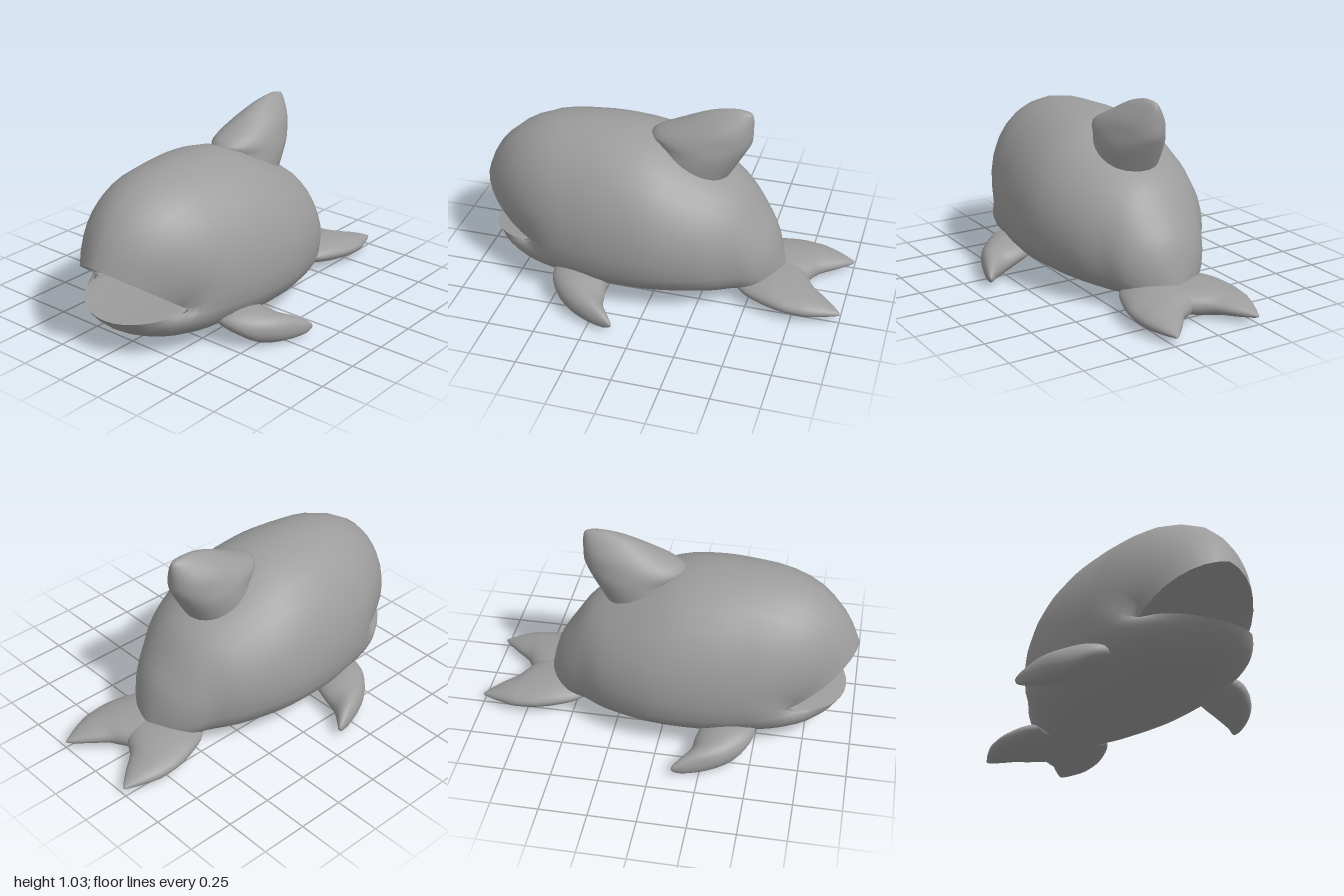
import * as THREE from 'three';

const SEG = 32;
const V = (x, y, z) => new THREE.Vector3(x, y, z);
const material = new THREE.MeshStandardMaterial({ color: 0x9c9c9c, side: THREE.DoubleSide });

// Catmull-Rom smoothing of rows of section numbers
function smooth(rows, steps = 3) {
  const out = [];
  const last = rows.length - 1;
  for (let i = 0; i < last; i++) {
    const p = [rows[Math.max(i - 1, 0)], rows[i], rows[i + 1], rows[Math.min(i + 2, last)]];
    for (let s = 0; s < steps; s++) {
      const t = s / steps;
      out.push(rows[0].map((_, k) => {
        const [a, b, c, d] = p.map(r => r[k]);
        return 0.5 * (2 * b + (c - a) * t + (2 * a - 5 * b + 4 * c - d) * t * t
          + (3 * b - a - 3 * c + d) * t * t * t);
      }));
    }
  }
  out.push(rows[last]);
  return out;
}

// One closed ring from a function of the angle
function ring(fn) {
  return Array.from({ length: SEG }, (_, j) => fn((j / SEG) * Math.PI * 2));
}

// Oval ring in the plane of u and v
function oval(center, u, v) {
  return ring(a => center.clone().addScaledVector(u, Math.sin(a)).addScaledVector(v, Math.cos(a)));
}

// Smooth skin over rings; ends close to a point on request
function loft(name, rings, capStart = true, capEnd = true) {
  const point = r => {
    const c = r.reduce((sum, p) => sum.add(p), V(0, 0, 0)).divideScalar(SEG);
    return r.map(() => c);
  };
  const all = [...rings];
  if (capStart) all.unshift(point(rings[0]));
  if (capEnd) all.push(point(rings[rings.length - 1]));
  const index = [];
  for (let i = 0; i < all.length - 1; i++) {
    for (let j = 0; j < SEG; j++) {
      const k = (j + 1) % SEG;
      const a = i * SEG + j, b = i * SEG + k, c = a + SEG, d = b + SEG;
      index.push(a, c, b, b, c, d);
    }
  }
  const geometry = new THREE.BufferGeometry().setFromPoints(all.flat());
  geometry.setIndex(index);
  geometry.computeVertexNormals();
  const mesh = new THREE.Mesh(geometry, material);
  mesh.name = name;
  return mesh;
}

// Body section: rounded above the widest height, flatter below
function bodyRing([z, w, top, bottom, mid]) {
  return ring(a => {
    const c = Math.cos(a);
    const y = c > 0 ? mid + (top - mid) * c : mid - (mid - bottom) * Math.pow(-c, 0.75);
    return V(w * Math.sin(a), y, z);
  });
}

// Edge of the open mouth: peaked upper lip, shorter flat lower jaw
const lips = ring(a => {
  const c = Math.cos(a);
  const x = 0.31 * Math.sin(a);
  const peak = 1 - Math.abs(Math.sin(a));
  return c > 0
    ? V(x, 0.245 + 0.215 * c + 0.035 * peak, 0.66 + 0.3 * c + 0.04 * peak)
    : V(x, 0.245 - 0.043 * c * c, 0.66 - 0.29 * c);
});

function makeBody() {
  // z, half width, top, bottom, height of widest point
  const rings = smooth([
    [-0.66, 0.03, 0.14, 0.06, 0.1],
    [-0.61, 0.14, 0.33, 0.04, 0.16],
    [-0.53, 0.235, 0.46, 0.03, 0.22],
    [-0.43, 0.3, 0.6, 0.027, 0.28],
    [-0.3, 0.39, 0.69, 0.02, 0.31],
    [-0.1, 0.462, 0.795, 0.015, 0.33],
    [0.07, 0.483, 0.862, 0.012, 0.33],
    [0.27, 0.475, 0.885, 0.01, 0.33],
    [0.45, 0.445, 0.88, 0.02, 0.33],
  ]).map(bodyRing);
  // Head: each line of the body bends in towards the lips
  const neck = rings[rings.length - 1];
  const steps = 8;
  for (let s = 1; s <= steps; s++) {
    const t = s / steps;
    rings.push(neck.map((b, j) => {
      const r = lips[j];
      const bend = V(b.x + (r.x - b.x) * 0.3, b.y + (r.y - b.y) * 0.04, b.z + (r.z - b.z) * 0.78);
      return new THREE.QuadraticBezierCurve3(b, bend, r).getPoint(t);
    }));
  }
  return loft('body', rings, true, false);
}

function makeMouth() {
  const back = ring(a => V(0.27 * Math.sin(a), 0.285 + 0.015 * Math.cos(a), 0.55));
  const rings = [0, 0.25, 0.5, 0.75, 1].map(t => lips.map((p, j) => p.clone().lerp(back[j], t)));
  return loft('mouth', rings, false, true);
}

function makeDorsalFin() {
  // y, centre z, half length, half width
  const rows = smooth([
    [0.62, -0.14, 0.18, 0.16],
    [0.72, -0.16, 0.22, 0.165],
    [0.8, -0.19, 0.235, 0.16],
    [0.86, -0.19, 0.265, 0.145],
    [0.93, -0.26, 0.2, 0.113],
    [1.0, -0.33, 0.128, 0.055],
    [1.03, -0.37, 0.07, 0.022],
    [1.038, -0.36, 0.02, 0.008],
  ]);
  return loft('dorsalFin', rows.map(([y, z, l, w]) => oval(V(0, y, z), V(0, 0, l), V(w, 0, 0))));
}

function makeFlipper(side) {
  // x, y, z, half length, half height
  const rows = smooth([
    [0.26, 0.15, 0.38, 0.1, 0.03],
    [0.36, 0.13, 0.37, 0.14, 0.058],
    [0.45, 0.112, 0.35, 0.145, 0.074],
    [0.53, 0.086, 0.315, 0.122, 0.08],
    [0.6, 0.076, 0.245, 0.097, 0.064],
    [0.645, 0.06, 0.165, 0.052, 0.035],
    [0.66, 0.058, 0.13, 0.012, 0.01],
  ]);
  return loft(side > 0 ? 'leftFlipper' : 'rightFlipper', rows.map(([x, y, z, l, h]) =>
    oval(V(side * x, y, z), V(0, side * h, 0), V(0, l * 0.1, l))));
}

function makeFluke(side) {
  // z, inner x, outer x, y, half height
  const rows = smooth([
    [-0.44, -0.05, 0.2, 0.09, 0.04],
    [-0.5, -0.1, 0.25, 0.088, 0.056],
    [-0.6, -0.13, 0.29, 0.083, 0.073],
    [-0.7, -0.12, 0.315, 0.076, 0.071],
    [-0.78, -0.01, 0.315, 0.069, 0.063],
    [-0.83, 0.075, 0.31, 0.066, 0.053],
    [-0.91, 0.145, 0.285, 0.06, 0.036],
    [-0.98, 0.21, 0.255, 0.052, 0.015],
    [-1.0, 0.235, 0.245, 0.05, 0.006],
  ]);
  return loft(side > 0 ? 'leftFluke' : 'rightFluke', rows.map(([z, x0, x1, y, h]) =>
    oval(V(side * (x0 + x1) / 2, y, z), V((x0 - x1) / 2, 0, 0), V(0, h, 0))));
}

export function createModel() {
  const model = new THREE.Group();
  model.name = 'whale';
  model.add(makeBody(), makeMouth(), makeDorsalFin());
  for (const side of [1, -1]) model.add(makeFlipper(side), makeFluke(side));
  return model;
}
